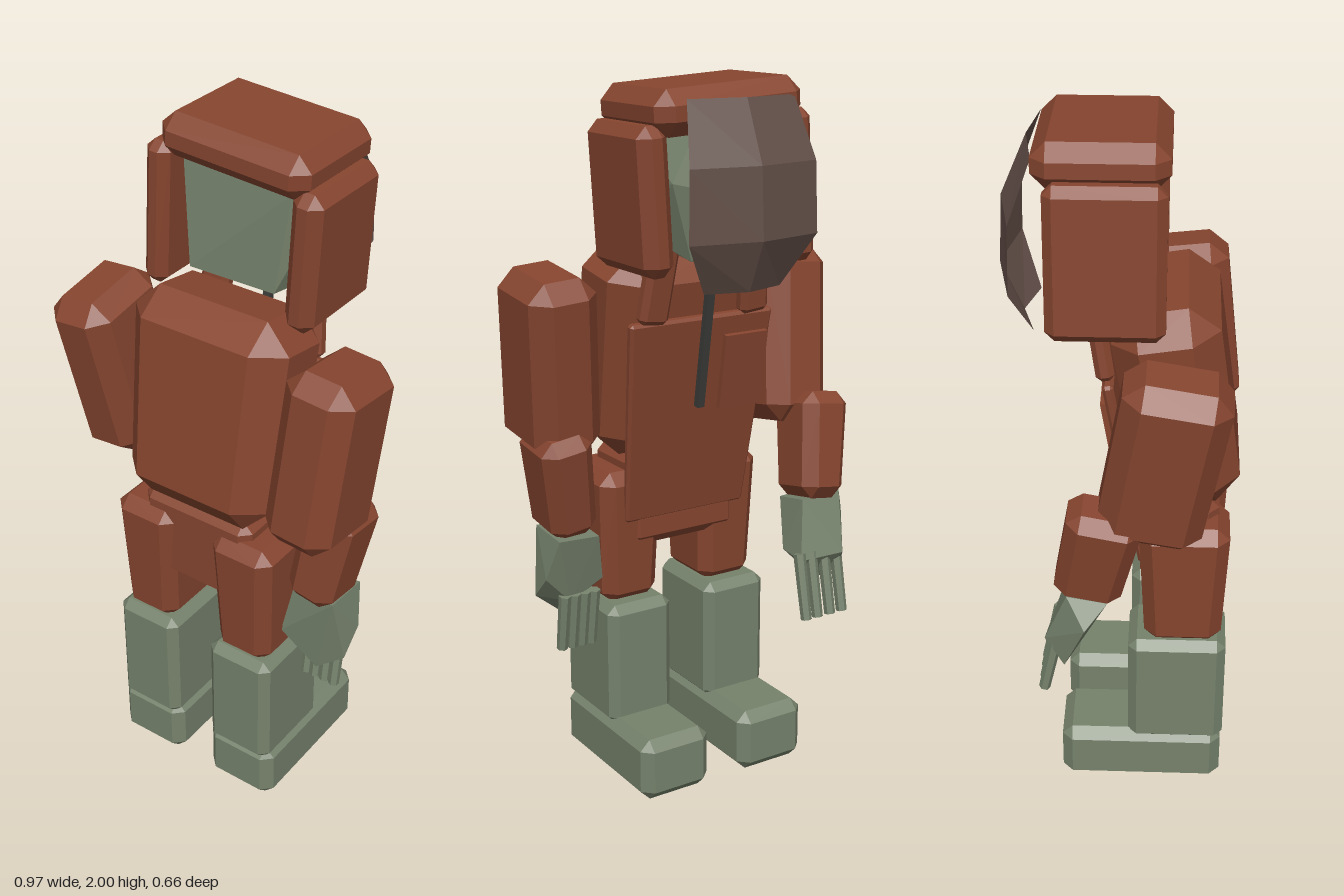
import * as THREE from 'three';
import { ConvexGeometry } from 'three/addons/geometries/ConvexGeometry.js';

const red = new THREE.MeshStandardMaterial({ color: 0x86452f, name: 'rust suit' });
const green = new THREE.MeshStandardMaterial({ color: 0x76826c, name: 'sage green' });
const brown = new THREE.MeshStandardMaterial({ color: 0x645049, name: 'visor brown', side: THREE.DoubleSide });
const dark = new THREE.MeshStandardMaterial({ color: 0x3c3c3a, name: 'dark grey' });

// Faceted block: octagonal sections, bevelled ends, optional narrower bottom
function block(w, h, d, bevel, taper = 1) {
  const pts = [];
  for (const s of [-1, 1]) {
    const k = s < 0 ? taper : 1;
    for (const inset of [0, bevel]) {
      const a = (w / 2) * k - inset, c = (d / 2) * k - inset;
      const y = s * (h / 2 - (bevel - inset));
      const cut = inset ? 0 : bevel;
      for (const sx of [-1, 1]) for (const sz of [-1, 1]) {
        pts.push(new THREE.Vector3(sx * (a - cut), y, sz * c));
        if (cut) pts.push(new THREE.Vector3(sx * a, y, sz * (c - cut)));
      }
    }
  }
  return new ConvexGeometry(pts);
}

const hull = (pts) => new ConvexGeometry(pts.map((p) => new THREE.Vector3(...p)));

export function createModel() {
  const model = new THREE.Group();
  model.name = 'astronautFigure';

  function add(name, geometry, material, pos = [0, 0, 0], rot = [0, 0, 0], parent = model) {
    const mesh = new THREE.Mesh(geometry, material);
    mesh.name = name;
    mesh.position.set(...pos);
    mesh.rotation.set(...rot);
    parent.add(mesh);
    return mesh;
  }

  // Legs, boots and collar flaps, mirrored
  for (const s of [-1, 1]) {
    const side = s > 0 ? 'left' : 'right';
    add(side + 'Thigh', block(0.2, 0.4, 0.25, 0.035, 0.88), red, [s * 0.163, 0.71, 0.165]);
    add(side + 'Shin', block(0.207, 0.37, 0.28, 0.025), green, [s * 0.163, 0.34, 0.15]);
    add(side + 'Boot', block(0.222, 0.185, 0.47, 0.03), green, [s * 0.164, 0.0925, 0.05]);
    add(side + 'CollarFlap', block(0.09, 0.28, 0.05, 0.015), red, [s * 0.15, 1.49, -0.07], [-0.15, 0, s * 0.1]);
  }

  // Torso, leaning so its top sits further back
  add('pelvis', block(0.36, 0.28, 0.22, 0.03), red, [0, 0.82, 0.15]);
  const torso = new THREE.Group();
  torso.name = 'torso';
  torso.position.set(0, 1.245, 0.14);
  torso.rotation.x = -0.16;
  model.add(torso);
  add('chest', block(0.49, 0.61, 0.29, 0.075, 0.94), red, [0.005, 0, 0], [0, 0, 0], torso);
  add('backPlate', block(0.46, 0.6, 0.03, 0.008, 0.86), red, [0, -0.16, -0.165], [0, 0, 0], torso);
  add('pocket', new THREE.BoxGeometry(0.14, 0.22, 0.02), red, [-0.14, -0.03, -0.185], [0, 0, 0], torso);
  add('fastener', new THREE.BoxGeometry(0.022, 0.4, 0.02), dark, [0, 0.08, -0.195], [0, 0, 0], torso);

  // Arms hang in different poses
  const arms = [
    {
      name: 'left',
      upper: [[0.365, 1.235, 0.158], [-0.11, 0, -0.07]],
      fore: [[0.363, 0.9, 0.12], [-0.12, 0, -0.15]],
      hand: [[0.28, 0.75, 0.18], [0.41, 0.76, 0.18], [0.28, 0.74, 0.05], [0.41, 0.75, 0.04],
        [0.435, 0.63, 0.08], [0.435, 0.56, 0.15], [0.35, 0.49, 0.16], [0.25, 0.6, 0.19],
        [0.255, 0.6, 0.08], [0.36, 0.55, 0.08]],
      fingers: [0.283, 0.313, 0.345, 0.377], top: [0.57, 0.08], tip: [0.4, 0.105],
    },
    {
      name: 'right',
      upper: [[-0.365, 1.235, 0.105], [0.17, 0, 0.1]],
      fore: [[-0.365, 0.935, -0.07], [0.2, 0, 0.14]],
      hand: [[-0.41, 0.81, -0.15], [-0.28, 0.8, -0.15], [-0.41, 0.79, -0.04], [-0.28, 0.78, -0.04],
        [-0.46, 0.73, -0.1], [-0.25, 0.64, -0.1], [-0.25, 0.63, -0.19], [-0.33, 0.55, -0.15],
        [-0.41, 0.57, -0.16], [-0.38, 0.64, -0.215]],
      fingers: [-0.378, -0.335, -0.29, -0.25], top: [0.65, -0.18], tip: [0.46, -0.22],
    },
  ];
  for (const a of arms) {
    add(a.name + 'UpperArm', block(0.205, 0.51, 0.28, 0.05), red, ...a.upper);
    add(a.name + 'Forearm', block(0.155, 0.31, 0.2, 0.035, 0.92), red, ...a.fore);
    add(a.name + 'Hand', hull(a.hand), green);
    const dy = a.top[0] - a.tip[0], dz = a.top[1] - a.tip[1];
    const finger = new THREE.CylinderGeometry(0.018, 0.016, Math.hypot(dy, dz), 6).toNonIndexed();
    finger.computeVertexNormals();
    for (const x of a.fingers) {
      add(a.name + 'Finger', finger, green,
        [x, (a.top[0] + a.tip[0]) / 2, (a.top[1] + a.tip[1]) / 2], [Math.atan2(dz, dy), 0, 0]);
    }
  }

  // Helmet: a cap over two side plates, slightly rolled
  const roll = [0, 0, -0.06];
  add('helmetCap', block(0.45, 0.12, 0.345, 0.04), red, [0.013, 1.93, -0.06], roll);
  add('leftHelmetSide', block(0.09, 0.39, 0.305, 0.03), red, [0.223, 1.695, -0.048], roll);
  add('rightHelmetSide', block(0.075, 0.41, 0.305, 0.025), red, [-0.23, 1.71, -0.048], roll);

  // Faceted head inside the helmet
  add('head', hull([
    [-0.18, 1.86, 0.03], [0.155, 1.845, 0.03], [0.175, 1.7, 0.02], [0.11, 1.56, 0.04], [-0.145, 1.57, 0.06],
    [0.16, 1.58, -0.06], [-0.18, 1.75, -0.17], [0.17, 1.74, -0.17], [-0.1, 1.87, -0.17], [0.1, 1.87, -0.17],
    [0, 1.7, -0.22], [-0.1, 1.53, -0.15], [0.1, 1.53, -0.15],
  ]), green);

  // Visor: bent sheet with rows of [y, half width, edge z, ridge z]
  const rows = [[1.955, 0.165, -0.23, -0.255], [1.79, 0.195, -0.29, -0.325], [1.6, 0.2, -0.295, -0.335], [1.46, 0.12, -0.24, -0.275]];
  const verts = [], index = [];
  rows.forEach(([y, w, ze, zr], r) => {
    verts.push(-w, y, ze, 0, y, zr, w, y, ze);
    if (r) for (const c of [0, 1]) {
      const a = (r - 1) * 3 + c;
      index.push(a, a + 1, a + 3, a + 1, a + 4, a + 3);
    }
  });
  let visor = new THREE.BufferGeometry();
  visor.setAttribute('position', new THREE.Float32BufferAttribute(verts, 3));
  visor.setIndex(index);
  visor = visor.toNonIndexed();
  visor.computeVertexNormals();
  add('visor', visor, brown);

  return model;
}
